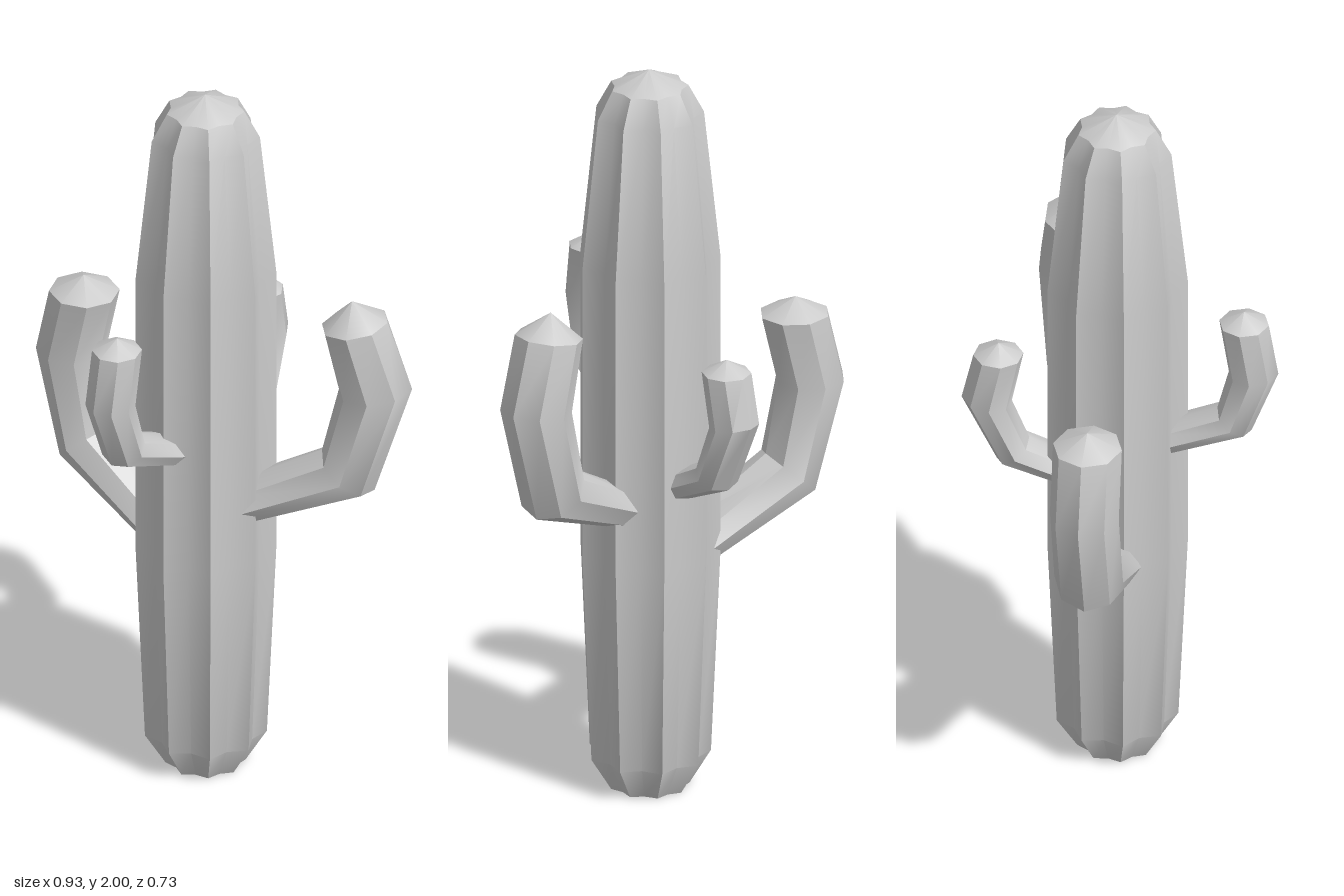
import * as THREE from 'three';
import { toCreasedNormals } from 'three/addons/utils/BufferGeometryUtils.js';

const material = new THREE.MeshStandardMaterial({ color: 0xcccccc });

// Skin a stack of equal-length rings (bottom to top); collapsed rings close the ends.
function loft(name, rings, crease) {
  const n = rings[0].length;
  const index = [];
  const same = (ring) => ring[0].distanceTo(ring[1]) < 1e-6;
  for (let j = 0; j < rings.length - 1; j++) {
    for (let i = 0; i < n; i++) {
      const k = (i + 1) % n;
      const a = j * n + i, b = j * n + k, c = a + n, d = b + n;
      if (!same(rings[j])) index.push(a, c, b);
      if (!same(rings[j + 1])) index.push(b, c, d);
    }
  }
  const geometry = new THREE.BufferGeometry().setFromPoints(rings.flat());
  geometry.setIndex(index);
  const mesh = new THREE.Mesh(toCreasedNormals(geometry, crease), material);
  mesh.name = name;
  return mesh;
}

// Nine-ribbed trunk: each profile entry is [rib radius, height, valley ratio].
function createTrunk() {
  const profile = [
    [0, 0, 1], [0.105, 0, 0.86], [0.16, 0.09, 0.84], [0.185, 0.66, 0.84],
    [0.185, 1.47, 0.84], [0.142, 1.88, 0.85], [0.102, 1.955, 0.87], [0, 2, 1],
  ];
  const rings = profile.map(([r, y, valley]) =>
    Array.from({ length: 18 }, (_, i) => {
      const t = Math.PI / 2 + (i * Math.PI) / 9;
      const radius = i % 2 ? r * valley : r;
      return new THREE.Vector3(radius * Math.cos(t), y, radius * Math.sin(t));
    }));
  const trunk = loft('trunk', rings, 0.6);
  trunk.position.set(-0.055, 0, 0.05);
  return trunk;
}

// Eight-sided bent arm. Each ring spans an outer and an inner point
// [outer distance, outer y, inner distance, inner y]; width is the sideways radius.
function createArm({ name, direction, base, width, rings, tip }) {
  const sections = rings.map(([ox, oy, ix, iy]) =>
    Array.from({ length: 8 }, (_, i) => {
      const t = (i * Math.PI) / 4;
      const c = Math.cos(t) / 2;
      return new THREE.Vector3(
        (ox + ix) / 2 + (ox - ix) * c,
        (oy + iy) / 2 + (oy - iy) * c,
        width * Math.sin(t));
    }));
  const cap = (x, y) => Array.from({ length: 8 }, () => new THREE.Vector3(x, y, 0));
  const [ox, oy, ix, iy] = rings[0];
  const arm = loft(name,
    [cap((ox + ix) / 2, (oy + iy) / 2), ...sections, cap(...tip)], 0.6);
  arm.position.set(base[0], 0, base[1]);
  arm.rotation.y = Math.atan2(-direction[1], direction[0]);
  return arm;
}

const ARMS = [
  {
    name: 'frontLeftArm', direction: [0.943, 0.33], base: [-0.055, 0.07], width: 0.09,
    rings: [[0.13, 0.76, 0.10, 0.87], [0.45, 0.89, 0.31, 0.99],
      [0.55, 1.21, 0.355, 1.18], [0.485, 1.4, 0.31, 1.37]],
    tip: [0.39, 1.45],
  },
  {
    name: 'backRightArm', direction: [-0.69, -0.72], base: [-0.055, 0.05], width: 0.09,
    rings: [[0.15, 0.6, 0.13, 0.725], [0.465, 0.745, 0.335, 0.86],
      [0.555, 1.05, 0.37, 1.05], [0.51, 1.24, 0.325, 1.24]],
    tip: [0.42, 1.285],
  },
  {
    name: 'backLeftArm', direction: [0.52, -0.85], base: [-0.055, 0.05], width: 0.064,
    rings: [[0.14, 0.84, 0.12, 0.92], [0.31, 0.92, 0.225, 0.98],
      [0.4, 1.12, 0.27, 1.1], [0.37, 1.25, 0.24, 1.25]],
    tip: [0.305, 1.285],
  },
  {
    name: 'frontRightArm', direction: [-0.73, 0.68], base: [-0.055, 0.05], width: 0.064,
    rings: [[0.15, 0.955, 0.13, 1.035], [0.355, 1.04, 0.265, 1.1],
      [0.425, 1.23, 0.295, 1.22], [0.4, 1.38, 0.27, 1.38]],
    tip: [0.335, 1.415],
  },
];

export function createModel() {
  const model = new THREE.Group();
  model.name = 'cactus';
  model.add(createTrunk(), ...ARMS.map(createArm));
  return model;
}
